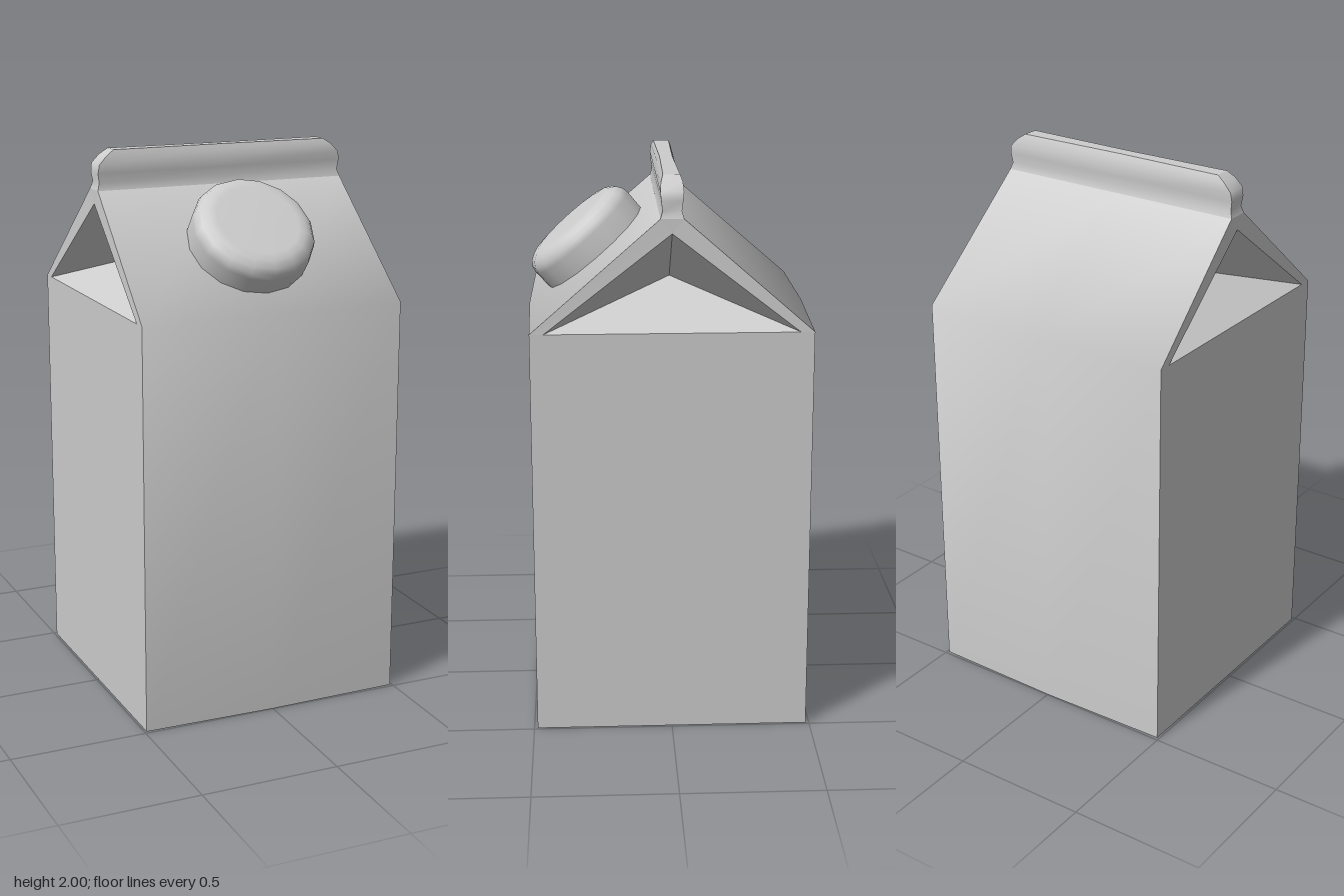
import * as THREE from 'three';

const cardboard = new THREE.MeshStandardMaterial({ color: 0xcccccc });
cardboard.name = 'pale grey card';

// Smooth sheet through rows of points (rows go up, columns go right, seen from outside).
// side = -1 turns the sheet half a turn about y.
function panel(name, rows, side = 1) {
  const cols = rows[0].length;
  const position = rows.flat().flatMap(([x, y, z]) => [x * side, y, z * side]);
  const index = [];
  for (let r = 0; r < rows.length - 1; r++) {
    for (let c = 0; c < cols - 1; c++) {
      const a = r * cols + c, b = a + 1, d = a + cols, e = d + 1;
      index.push(a, b, e, a, e, d);
    }
  }
  return finish(name, position, index);
}

function triangle(name, points, side) {
  return finish(name, points.flatMap(([x, y, z]) => [x * side, y, z * side]), [0, 1, 2]);
}

function finish(name, position, index) {
  const geometry = new THREE.BufferGeometry();
  geometry.setAttribute('position', new THREE.Float32BufferAttribute(position, 3));
  geometry.setIndex(index);
  geometry.computeVertexNormals();
  const mesh = new THREE.Mesh(geometry, cardboard);
  mesh.name = name;
  return mesh;
}

// One row of three points, with the middle pushed out by bow
const bowedRow = (x, y, z, bow) => [[-x, y, z], [0, y, z + bow], [x, y, z]];

export function createModel() {
  const carton = new THREE.Group();
  carton.name = 'carton';
  const body = new THREE.Group();
  body.name = 'body';
  const fin = new THREE.Group();
  fin.name = 'topFin';
  carton.add(body, fin);

  const W = 0.492, D = 0.488, eave = 1.47, ridge = 1.86, ridgeX = 0.475, finZ = 0.04, bow = 0.01;

  // Fin levels: height, half depth, half width
  const levels = [
    [1.86, 0.04, 0.475], [1.885, 0.033, 0.467], [1.92, 0.037, 0.472],
    [1.95, 0.04, 0.468], [1.98, 0.037, 0.44], [2.0, 0.029, 0.41],
  ];

  for (const side of [1, -1]) {
    // Wall and roof panel in one smooth sheet
    body.add(panel(side > 0 ? 'frontPanel' : 'backPanel', [
      bowedRow(W, 0, D, bow), bowedRow(W, eave, D, bow), bowedRow(ridgeX, ridge, finZ, 0),
    ], side));

    // Side wall
    body.add(panel('sideWall', [[[W, 0, D], [W, 0, -D]], [[W, eave, D], [W, eave, -D]]], side));

    // Folded gable: card rim around three inward folds
    const outF = [W, eave, D], outB = [W, eave, -D];
    const inF = [W, eave, 0.44], inB = [W, eave, -0.44];
    const topF = [ridgeX, ridge, finZ], topB = [ridgeX, ridge, -finZ];
    const peak = [ridgeX, 1.81, 0], fold = [0.25, 1.62, 0];
    body.add(
      panel('gableRimFront', [[outF, inF], [topF, peak]], side),
      panel('gableRimBack', [[inB, outB], [peak, topB]], side),
      triangle('gableRimTop', [peak, topB, topF], side),
      triangle('gableLowerFold', [inF, inB, fold], side),
      triangle('gableFrontFold', [inF, fold, peak], side),
      triangle('gableBackFold', [fold, inB, peak], side),
    );

    // Fin faces and ends
    fin.add(
      panel('finFace', levels.map(([y, z, x], i) => bowedRow(x, y, z, i > 3 ? -0.006 : 0)), side),
      panel('finEnd', levels.map(([y, z, x]) => [[x, y, z], [x, y, -z]]), side),
    );
  }

  // Flat top of the fin, and the floor
  const [topY, topZ, topX] = levels[levels.length - 1];
  fin.add(panel('finTop', [bowedRow(topX, topY, topZ, -0.006), bowedRow(topX, topY, -topZ, 0.006)]));
  body.add(panel('floor', [bowedRow(W, 0, -D, -bow), bowedRow(W, 0, D, bow)]));

  // Round screw cap on the front slope
  const profile = [[0.22, -0.01], [0.222, 0.07], [0.217, 0.092], [0.203, 0.112], [0.178, 0.126],
    [0.15, 0.13], [0, 0.131]].map(([r, h]) => new THREE.Vector2(r, h));
  const cap = new THREE.Mesh(new THREE.LatheGeometry(profile, 16), cardboard);
  cap.name = 'screwCap';
  cap.position.set(0, 1.675, 0.26);
  cap.rotation.x = Math.atan2(ridge - eave, D - finZ);
  carton.add(cap);

  return carton;
}
